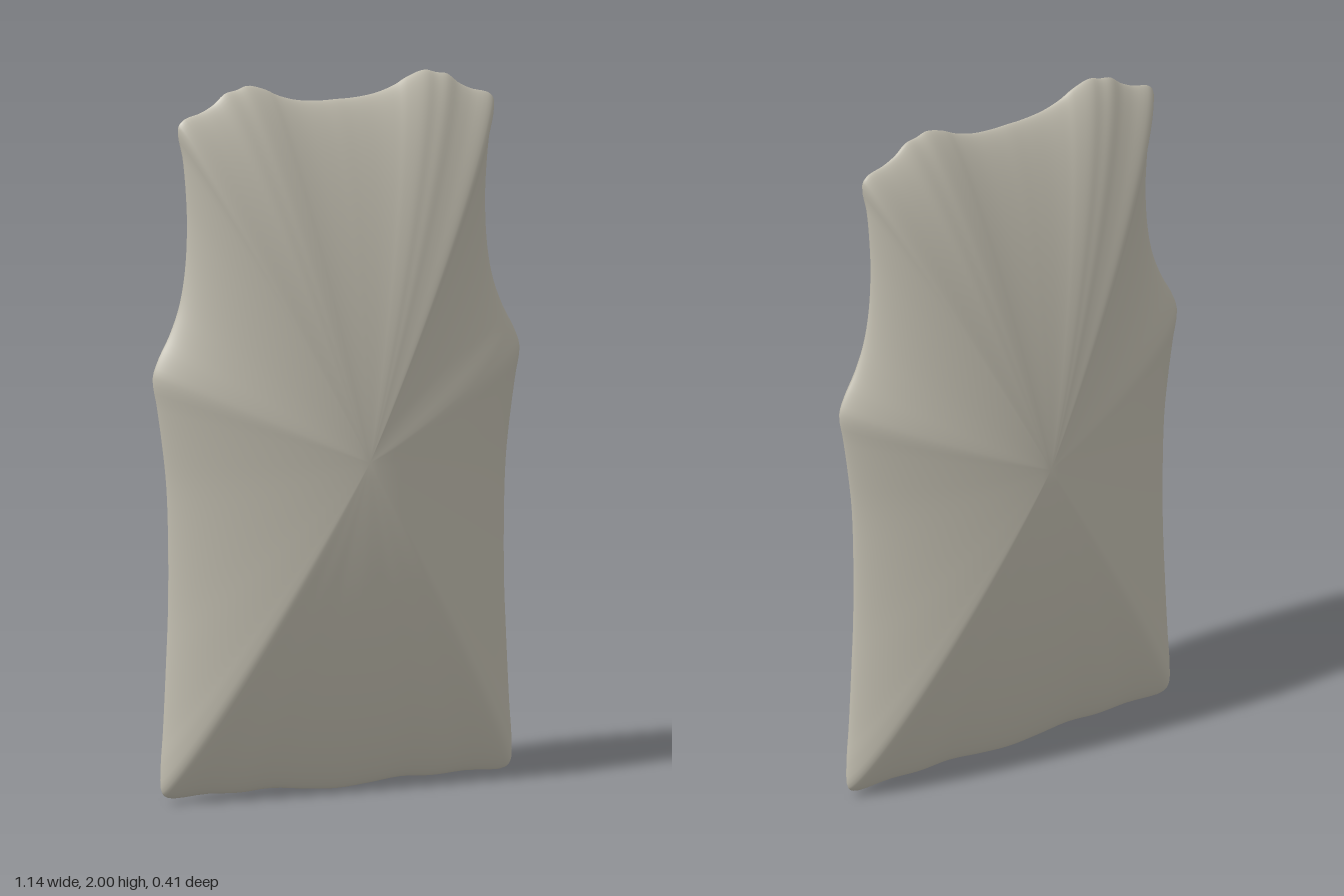
import * as THREE from 'three';
import { mergeVertices } from 'three/addons/utils/BufferGeometryUtils.js';

const CENTRE_Y = 0.95;
const DEPTH = 0.207;

// Left half of the garment outline, from hem centre up to neckline centre
const HALF = [
  [0, 0.003], [0.1, 0.01], [0.2, 0.02], [0.3, 0.015], [0.4, 0.02], [0.52, 0.018],
  [0.54, 0.035], [0.543, 0.1], [0.536, 0.2], [0.526, 0.4], [0.52, 0.55], [0.52, 0.75],
  [0.526, 0.9], [0.54, 1.02], [0.555, 1.12], [0.568, 1.2], [0.552, 1.25], [0.515, 1.32],
  [0.485, 1.4], [0.467, 1.5], [0.461, 1.62], [0.465, 1.72], [0.475, 1.82], [0.489, 1.9],
  [0.472, 1.92], [0.42, 1.935], [0.38, 1.955], [0.345, 1.983], [0.31, 1.99], [0.275, 2.0],
  [0.22, 1.985], [0.18, 1.965], [0.12, 1.947], [0.05, 1.94], [0, 1.94],
];

function outlinePoints(count) {
  const mirrored = HALF.slice(1, -1).reverse().map(([x, y]) => [-x, y]);
  const points = [...HALF, ...mirrored].map(([x, y]) => new THREE.Vector3(x, y, 0));
  return new THREE.CatmullRomCurve3(points, true).getPoints(count).slice(0, count);
}

// Outline rings shrink to a peak at the middle of the front and the back
function pillowGeometry(segments, rings) {
  const outline = outlinePoints(segments);
  const positions = [];
  const index = [];
  for (let k = 0; k <= rings; k++) {
    const angle = (Math.PI * k) / rings;
    const t = k === 0 || k === rings ? 0 : Math.sin(angle);
    const side = k * 2 === rings ? 0 : Math.sign(rings / 2 - k);
    const z = side * DEPTH * Math.pow(Math.max(0, 1 - Math.pow(t, 1.5)), 0.7);
    for (const p of outline) {
      positions.push(p.x * t, CENTRE_Y + (p.y - CENTRE_Y) * t, z);
    }
  }
  for (let k = 0; k < rings; k++) {
    for (let j = 0; j < segments; j++) {
      const a = k * segments + j;
      const b = k * segments + ((j + 1) % segments);
      const c = a + segments;
      const d = b + segments;
      if (k > 0) index.push(a, d, b);
      if (k < rings - 1) index.push(a, c, d);
    }
  }
  const geometry = new THREE.BufferGeometry();
  geometry.setAttribute('position', new THREE.Float32BufferAttribute(positions, 3));
  geometry.setIndex(index);
  const merged = mergeVertices(geometry, 1e-5);
  merged.computeVertexNormals();
  return merged;
}

export function createModel() {
  const group = new THREE.Group();
  group.name = 'sleevelessVest';
  const cloth = new THREE.MeshStandardMaterial({ color: 0xc2beb0 });
  cloth.name = 'warm grey cloth';

  // Puffed sleeveless body, closed all round
  const body = new THREE.Mesh(pillowGeometry(240, 64), cloth);
  body.name = 'vestBody';
  group.add(body);
  return group;
}
